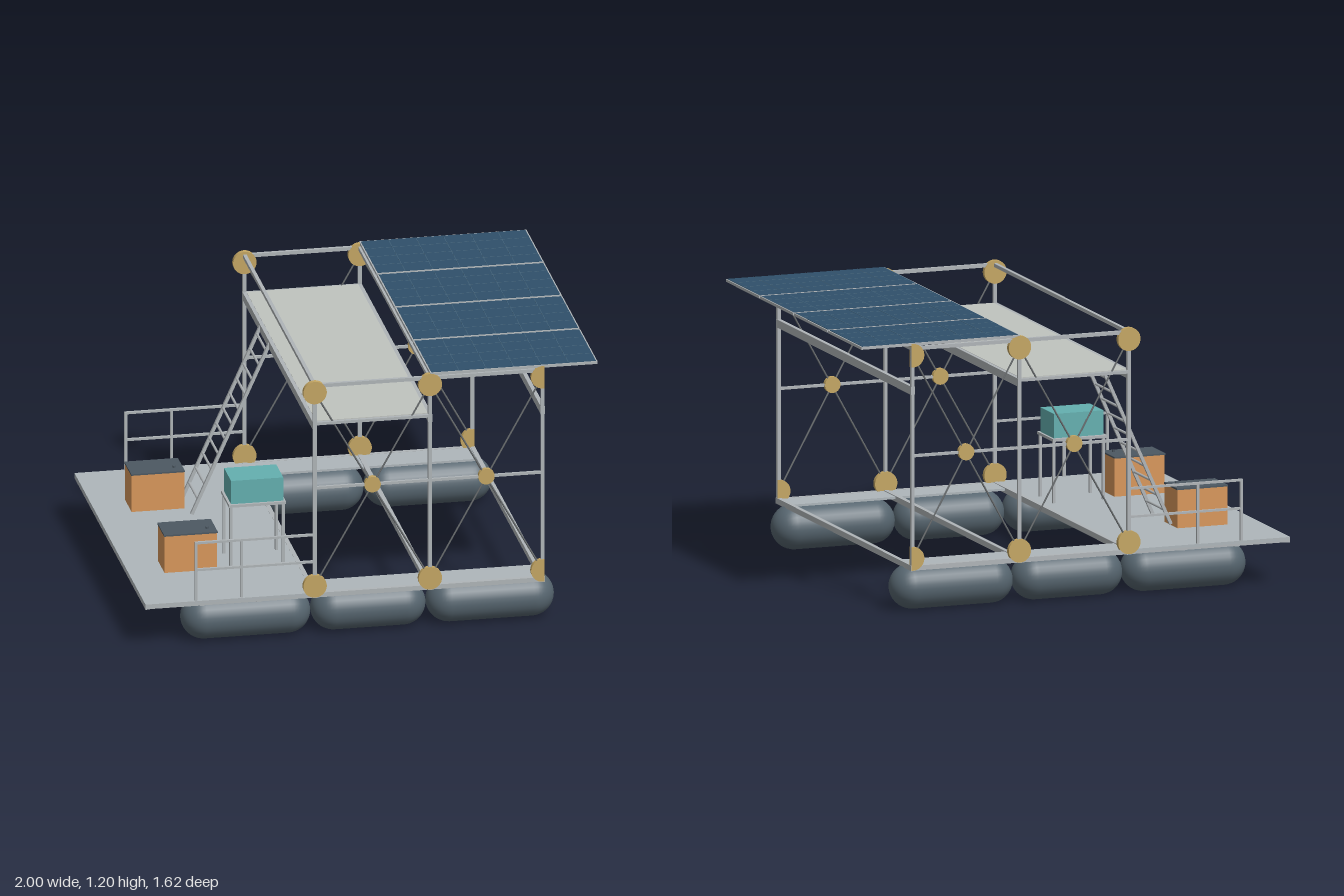
import * as THREE from 'three';

const mat = (color) => new THREE.MeshStandardMaterial({ color });
const STEEL = mat(0xb0b5b8), DECK = mat(0xaeb6ba), LOFT = mat(0xc0c4bf), BRASS = mat(0xc4a663);
const CABLE = mat(0x6a6e70), FLOAT = mat(0x56656f), BLUE = mat(0x2f506a), LINE = mat(0x48677e);
const ORANGE = mat(0xd8975b), DARK = mat(0x4c5862), TEAL = mat(0x64b0b0);

export function createModel() {
  const root = new THREE.Group();

  const group = (name) => {
    const g = new THREE.Group();
    g.name = name;
    root.add(g);
    return g;
  };
  const add = (parent, name, geo, material, x = 0, y = 0, z = 0) => {
    const m = new THREE.Mesh(geo, material);
    m.name = name;
    m.position.set(x, y, z);
    parent.add(m);
    return m;
  };
  // Box given by its limits on each axis
  const box = (parent, name, material, x0, x1, y0, y1, z0, z1) =>
    add(parent, name, new THREE.BoxGeometry(x1 - x0, y1 - y0, z1 - z0), material,
      (x0 + x1) / 2, (y0 + y1) / 2, (z0 + z1) / 2);
  // Round bar between two points
  const rod = (parent, name, material, a, b, r) => {
    const p = new THREE.Vector3(...a), q = new THREE.Vector3(...b);
    const d = q.clone().sub(p);
    const m = add(parent, name, new THREE.CylinderGeometry(r, r, d.length(), 8), material);
    m.position.copy(p).add(q).multiplyScalar(0.5);
    m.quaternion.setFromUnitVectors(new THREE.Vector3(0, 1, 0), d.normalize());
    return m;
  };

  const columns = [-0.25, 0.26, 0.758];
  const Z = 0.8, h = 0.008;

  // Floats: three capsules along each side
  const floats = group('floats');
  for (const z of [-0.705, 0.705]) {
    for (const [x0, x1] of [[-0.825, -0.253], [-0.25, 0.257], [0.26, 0.825]]) {
      const r = 0.1;
      add(floats, 'float', new THREE.CapsuleGeometry(r, x1 - x0 - 2 * r, 10, 32), FLOAT, (x0 + x1) / 2, r, z)
        .rotation.z = Math.PI / 2;
    }
  }

  // Main deck, side walkways and the beams below
  const base = group('base');
  box(base, 'mainDeck', DECK, -1, -0.25, 0.198, 0.21, -0.81, 0.81);
  for (const x of [-0.99, -0.75, -0.5]) box(base, 'deckJoist', STEEL, x - 0.01, x + 0.01, 0.186, 0.199, -0.81, 0.81);
  for (const x of columns) box(base, 'crossBeam', STEEL, x - 0.01, x + 0.01, 0.186, 0.211, -0.81, 0.81);
  for (const s of [-1, 1]) {
    box(base, 'sideBeam', STEEL, -1, 0.768, 0.188, 0.209, s * Z - 0.01, s * Z + 0.01);
    box(base, 'walkway', DECK, -0.25, 0.758, 0.198, 0.208, s * 0.725 - 0.075, s * 0.725 + 0.075);
  }

  // Frame: posts, rails and beams
  const frame = group('frame');
  for (const x of columns) {
    for (const z of [-Z, Z]) box(frame, 'post', STEEL, x - h, x + h, 0.2, 1.17, z - h, z + h);
    box(frame, 'topCrossRail', STEEL, x - h, x + h, 1.163, 1.179, -Z - h, Z + h);
    box(frame, 'midCrossBeam', STEEL, x - 0.009, x + 0.009, 0.967, 1.003, -Z - h, Z + h);
  }
  for (const z of [-Z, Z]) {
    box(frame, 'topSideRail', STEEL, -0.258, 0.766, 1.163, 1.179, z - h, z + h);
    box(frame, 'midSideRail', STEEL, -0.25, 0.758, 0.689, 0.701, z - 0.006, z + 0.006);
    box(frame, 'loftSideRail', STEEL, -0.25, 0.26, 0.988, 1.001, z - h, z + h);
  }
  box(frame, 'loftFloor', LOFT, -0.242, 0.252, 0.992, 1.004, -0.792, 0.792);

  // Bracing cables with round gusset plates
  const bracing = group('bracing');
  const plate = (r, half) => {
    const s = new THREE.Shape();
    if (half) s.moveTo(0.008, r).lineTo(0, r).absarc(0, 0, r, Math.PI / 2, Math.PI * 1.5).lineTo(0.008, -r);
    else s.absarc(0, 0, r, 0, Math.PI * 2);
    return new THREE.ExtrudeGeometry(s, { depth: 0.021, bevelEnabled: false, curveSegments: 24 }).translate(0, 0, -0.0105);
  };
  const fullPlate = plate(0.052, false), halfPlate = plate(0.052, true), hub = plate(0.036, false);
  for (const z of [-Z, Z]) {
    columns.forEach((x, i) => {
      for (const y of [0.24, 1.14]) add(bracing, 'gusset', i === 2 ? halfPlate : fullPlate, BRASS, x, y, z);
    });
    for (let i = 0; i < 2; i++) {
      const a = columns[i], b = columns[i + 1];
      rod(bracing, 'cable', CABLE, [a, 0.24, z], [b, 1.14, z], 0.004);
      rod(bracing, 'cable', CABLE, [a, 1.14, z], [b, 0.24, z], 0.004);
      add(bracing, 'hub', hub, BRASS, (a + b) / 2, 0.695, z);
    }
  }

  // Roof: four solar panels with cell lines
  const roof = group('solarRoof');
  for (let i = 0; i < 4; i++) {
    const z0 = -0.81 + i * 0.4075, z1 = z0 + 0.3975;
    box(roof, 'panelFrame', STEEL, 0.26, 1, 1.184, 1.196, z0, z1);
    box(roof, 'panelCells', BLUE, 0.266, 0.994, 1.19, 1.1975, z0 + 0.006, z1 - 0.006);
    for (let k = 1; k < 6; k++) {
      const x = 0.266 + k * 0.728 / 6;
      box(roof, 'cellLine', LINE, x - 0.001, x + 0.001, 1.195, 1.1982, z0 + 0.006, z1 - 0.006);
    }
    for (let k = 1; k < 4; k++) {
      const z = z0 + k * (z1 - z0) / 4;
      box(roof, 'cellLine', LINE, 0.266, 0.994, 1.195, 1.1982, z - 0.001, z + 0.001);
    }
  }

  // Deck railings on both sides
  const railing = group('railings');
  for (const z of [-Z, Z]) {
    for (const x of [-0.775, -0.573]) box(railing, 'railPost', STEEL, x - 0.006, x + 0.006, 0.21, 0.482, z - 0.006, z + 0.006);
    for (const y of [0.352, 0.477]) box(railing, 'handRail', STEEL, -0.78, -0.25, y - 0.005, y + 0.005, z - 0.006, z + 0.006);
  }

  // Ladder leaning on the loft
  const ladder = group('ladder');
  const foot = [-0.6, 0.222], head = [-0.256, 0.99];
  const rise = head[1] - foot[1], run = head[0] - foot[0];
  for (const z of [-0.197, -0.407]) {
    add(ladder, 'ladderRail', new THREE.BoxGeometry(0.014, Math.hypot(rise, run), 0.014), STEEL,
      (foot[0] + head[0]) / 2, (foot[1] + head[1]) / 2, z).rotation.z = -Math.atan2(run, rise);
  }
  for (let i = 0; i < 11; i++) {
    const y = 0.287 + i * 0.067, x = foot[0] + (y - foot[1]) / rise * run;
    rod(ladder, 'rung', STEEL, [x, y, -0.407], [x, y, -0.197], 0.006);
  }

  // Table with a tank on top
  const table = group('table');
  box(table, 'tableTop', STEEL, -0.557, -0.305, 0.485, 0.497, 0.243, 0.433);
  for (const x of [-0.547, -0.315])
    for (const z of [0.263, 0.421]) box(table, 'tableLeg', STEEL, x - 0.006, x + 0.006, 0.21, 0.486, z - 0.006, z + 0.006);
  box(table, 'tank', TEAL, -0.546, -0.315, 0.497, 0.605, 0.26, 0.421);

  // Two crates with lids and knobs
  const crates = group('crates');
  for (const z of [-0.377, 0.373]) {
    box(crates, 'crate', ORANGE, -0.846, -0.613, 0.21, 0.38, z - 0.077, z + 0.077);
    box(crates, 'crateLid', DARK, -0.848, -0.611, 0.379, 0.386, z - 0.079, z + 0.079);
    add(crates, 'lidKnob', new THREE.CylinderGeometry(0.006, 0.006, 0.012, 12), DARK, -0.65, 0.39, z + 0.033);
  }

  return root;
}
